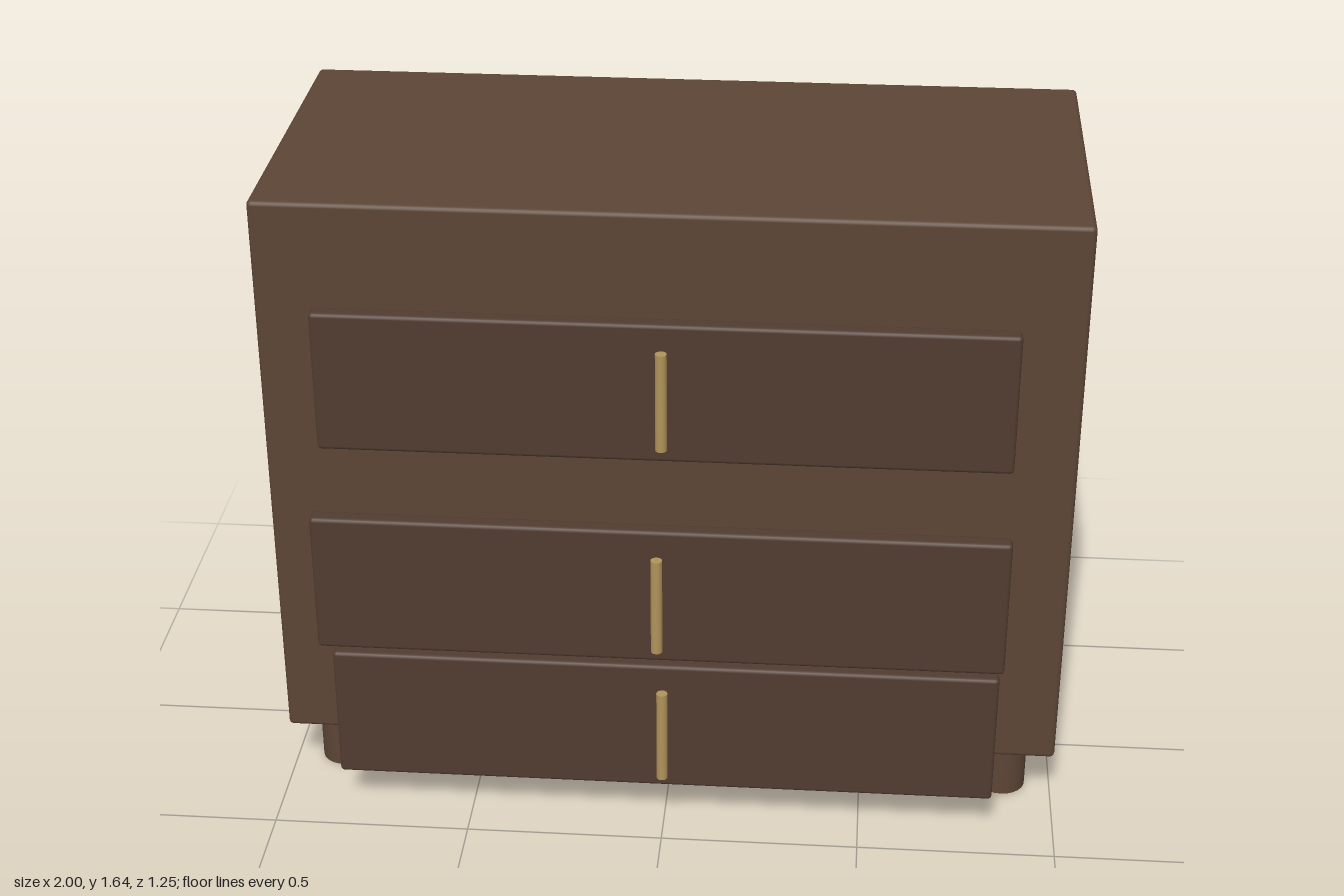
import * as THREE from 'three';
import { RoundedBoxGeometry } from 'three/addons/geometries/RoundedBoxGeometry.js';

export function createModel() {
  const model = new THREE.Group();
  model.name = 'chestOfDrawers';

  const wood = new THREE.MeshStandardMaterial({ color: 0x5c4536 });
  const darkWood = new THREE.MeshStandardMaterial({ color: 0x513c30 });
  const brass = new THREE.MeshStandardMaterial({ color: 0xb0935a });

  const add = (parent, name, geometry, material, x, y, z) => {
    const mesh = new THREE.Mesh(geometry, material);
    mesh.name = name;
    mesh.position.set(x, y, z);
    parent.add(mesh);
  };

  // Cabinet body
  add(model, 'body', new RoundedBoxGeometry(2, 1.488, 0.908, 2, 0.012), wood, 0, 0.894, -0.171);

  // Four round feet, reaching slightly into the body
  const footGeometry = new THREE.CylinderGeometry(0.0625, 0.0625, 0.16, 24);
  for (const [side, x] of [['left', 0.873], ['right', -0.873]]) {
    add(model, side + 'FrontFoot', footGeometry, wood, x, 0.08, 0.176);
    add(model, side + 'BackFoot', footGeometry, wood, x, 0.08, -0.516);
  }

  // Drawer fronts standing forward of the body, each with an upright bar handle
  const frontGeometry = new RoundedBoxGeometry(1.674, 0.362, 0.044, 2, 0.01);
  const handleGeometry = new THREE.CylinderGeometry(0.014, 0.014, 0.254, 16);
  const drawers = [
    ['bottomDrawer', 0.295, 0.407],
    ['middleDrawer', 0.767, 0.552],
    ['topDrawer', 1.239, 0.407],
  ];
  for (const [name, y, z] of drawers) {
    const drawer = new THREE.Group();
    drawer.name = name;
    drawer.position.set(0, y, z);
    add(drawer, 'drawerFront', frontGeometry, darkWood, 0, 0, 0);
    add(drawer, 'handle', handleGeometry, brass, 0, 0, 0.061);
    model.add(drawer);
  }

  return model;
}
